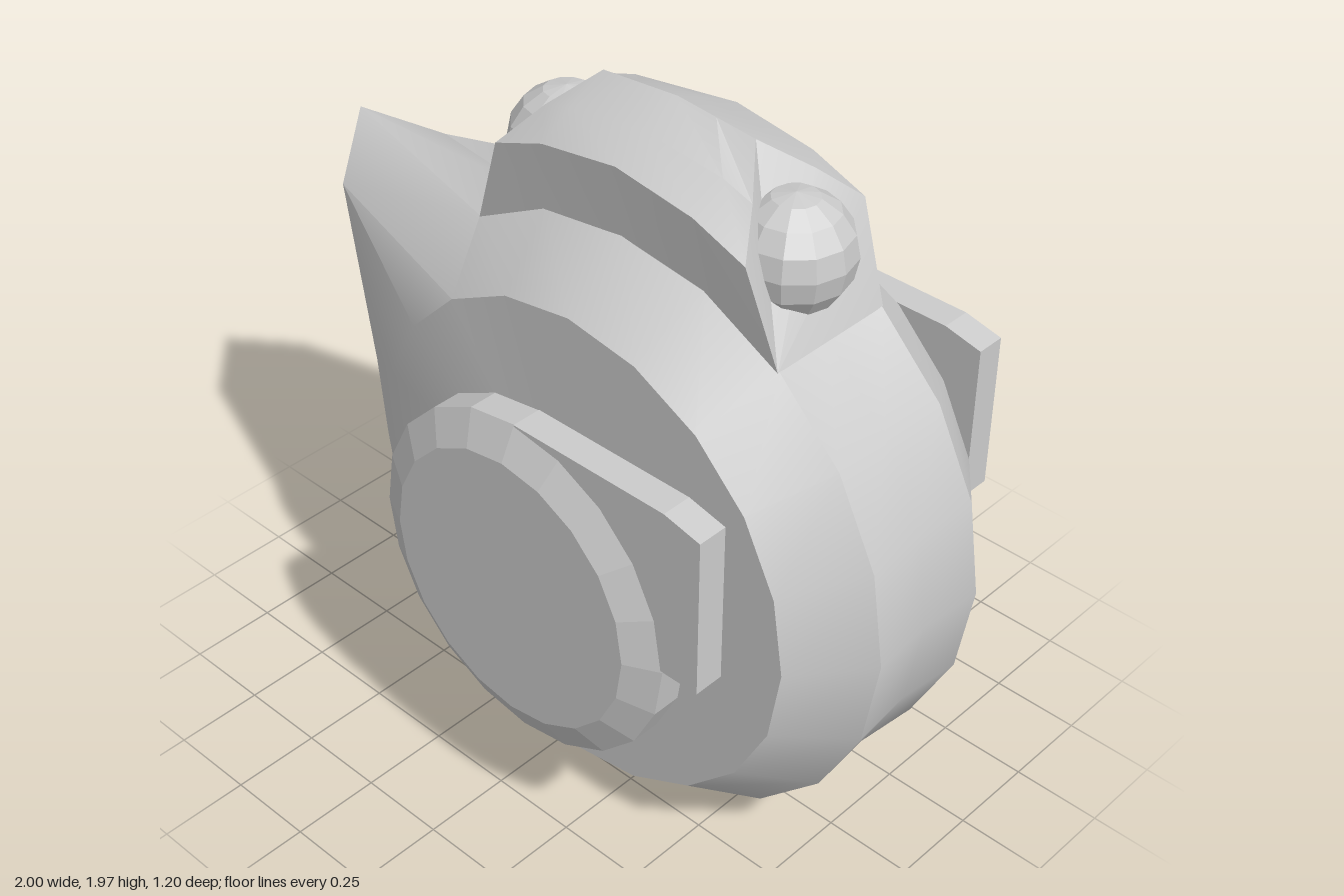
import * as THREE from 'three';
import { toCreasedNormals } from 'three/addons/utils/BufferGeometryUtils.js';

const CX = 0.16, CY = 0.845; // wheel centre
const V = (x, y, z) => new THREE.Vector3(x, y, z);
const grey = new THREE.MeshStandardMaterial({ color: 0xcccccc, side: THREE.DoubleSide });
const flat = new THREE.MeshStandardMaterial({ color: 0xcccccc, flatShading: true });

// Collects triangles and quads into one geometry
function surface() {
  const pts = [];
  const tri = (a, b, c) => pts.push(a, b, c);
  const quad = (a, b, c, d) => { tri(a, b, c); tri(a, c, d); };
  const build = (crease) => {
    const g = new THREE.BufferGeometry().setFromPoints(pts);
    return toCreasedNormals(g, crease);
  };
  return { tri, quad, build };
}

function add(parent, name, geometry, material) {
  const mesh = new THREE.Mesh(geometry, material);
  mesh.name = name;
  parent.add(mesh);
  return mesh;
}

// Round bevelled body whose rim is pulled out into a spout on the -x side
function bodyGeometry() {
  const s = surface(), N = 20;
  const profile = [[0.69, 0.37], [0.84, 0.185], [0.825, 0], [0.84, -0.185], [0.69, -0.37]];
  const rings = [];
  for (let i = 0; i < N; i++) {
    const a = (i / N) * Math.PI * 2;
    rings.push(profile.map(([r, z]) => V(CX + r * Math.cos(a), CY + r * Math.sin(a), z)));
  }
  // spout mouth: rings 8 to 11 run down a straight edge, with a pointed lip at each end
  for (let i = 8; i <= 11; i++) {
    const t = (i - 8) / 3;
    for (const j of [1, 3]) {
      rings[i][j].x = THREE.MathUtils.lerp(-0.87, -0.74, t);
      rings[i][j].y = THREE.MathUtils.lerp(1.395, 0.605, t);
    }
  }
  rings[8][2].set(-1, 1.505, 0);
  rings[11][2].set(-0.78, 0.585, 0);

  const front = V(CX, CY, 0.37), back = V(CX, CY, -0.37);
  for (let i = 0; i < N; i++) {
    const p = rings[i], q = rings[(i + 1) % N];
    for (let j = 0; j < 4; j++) {
      const mouth = i >= 8 && i < 11 && (j === 1 || j === 2);
      if (!mouth) s.quad(p[j], p[j + 1], q[j + 1], q[j]);
    }
    s.tri(front, p[0], q[0]);
    s.tri(back, q[4], p[4]);
  }
  // lips and the recess behind the mouth
  s.tri(rings[8][1], rings[8][2], rings[8][3]);
  s.tri(rings[11][1], rings[11][3], rings[11][2]);
  const outer = [rings[8][1], rings[8][3], rings[11][3], rings[11][1]];
  const inner = outer.map((p) => V(p.x + 0.4, p.y, p.z));
  for (let k = 0; k < 4; k++) {
    const n = (k + 1) % 4;
    s.quad(outer[k], outer[n], inner[n], inner[k]);
  }
  s.quad(...inner);
  return s.build(0.75);
}

// Arched, ridged head block following the top of the body
function headGeometry() {
  const s = surface();
  // each row: half depth, then [x offset, y] at the end, quarter and middle
  const rows = [
    [0.19, [[0.49, 1.525], [0.26, 1.645], [0, 1.68]]],
    [0.21, [[0.40, 1.78], [0.24, 1.84], [0, 1.875]]],
    [0.11, [[0.33, 1.87], [0.24, 1.90], [0, 1.925]]],
    [0, [[0.24, 1.955], [0.12, 1.965], [0, 1.975]]],
  ];
  const order = [0, 1, 2, 3, 2, 1, 0];
  const stations = [2, 1, 0, -1, -2].map((k) => order.map((r, j) => {
    const [x, y] = rows[r][1][2 - Math.abs(k)];
    return V(CX + Math.sign(k) * x, y, rows[r][0] * (j < 3 ? 1 : -1));
  }));
  for (let i = 0; i < 4; i++) {
    const p = stations[i], q = stations[i + 1];
    for (let j = 0; j < 6; j++) s.quad(p[j], p[j + 1], q[j + 1], q[j]);
  }
  const first = stations[0], last = stations[4];
  for (let j = 1; j < 6; j++) {
    s.tri(first[0], first[j + 1], first[j]);
    s.tri(last[0], last[j], last[j + 1]);
  }
  return s.build(0.3);
}

// Round side plate with a flat tab, on a short axle
function sidePlate(name, side) {
  const g = new THREE.Group();
  g.name = name;
  const axle = new THREE.CylinderGeometry(0.172, 0.172, 0.14, 20).rotateX(Math.PI / 2);
  add(g, 'axle', axle, flat).position.set(CX, CY, side * 0.39);

  const profile = [[0, -0.085], [0.39, -0.085], [0.48, -0.04], [0.48, 0.04], [0.39, 0.085], [0, 0.085]];
  const disc = new THREE.LatheGeometry(profile.map(([r, y]) => new THREE.Vector2(r, y)), 20);
  add(g, 'disc', disc.rotateX(Math.PI / 2), flat).position.set(CX, CY, side * 0.513);

  const outline = [[0.16, 1.325], [0.16, 0.85], [0.75, 0.85], [0.75, 1.30], [0.64, 1.325]];
  const shape = new THREE.Shape(outline.map(([x, y]) => new THREE.Vector2(x, y)));
  const tab = new THREE.ExtrudeGeometry(shape, { depth: 0.084, bevelEnabled: false });
  add(g, 'tab', tab.translate(0, 0, -0.042), flat).position.z = side * 0.513;
  return g;
}

export function createModel() {
  const model = new THREE.Group();
  model.name = 'model';
  add(model, 'body', bodyGeometry(), grey);
  add(model, 'head', headGeometry(), grey);
  for (const side of [1, -1]) {
    const eye = new THREE.SphereGeometry(0.155, 12, 8);
    add(model, side > 0 ? 'leftEye' : 'rightEye', eye, flat).position.set(CX + side * 0.365, 1.715, 0);
    model.add(sidePlate(side > 0 ? 'frontPlate' : 'backPlate', side));
  }
  return model;
}
